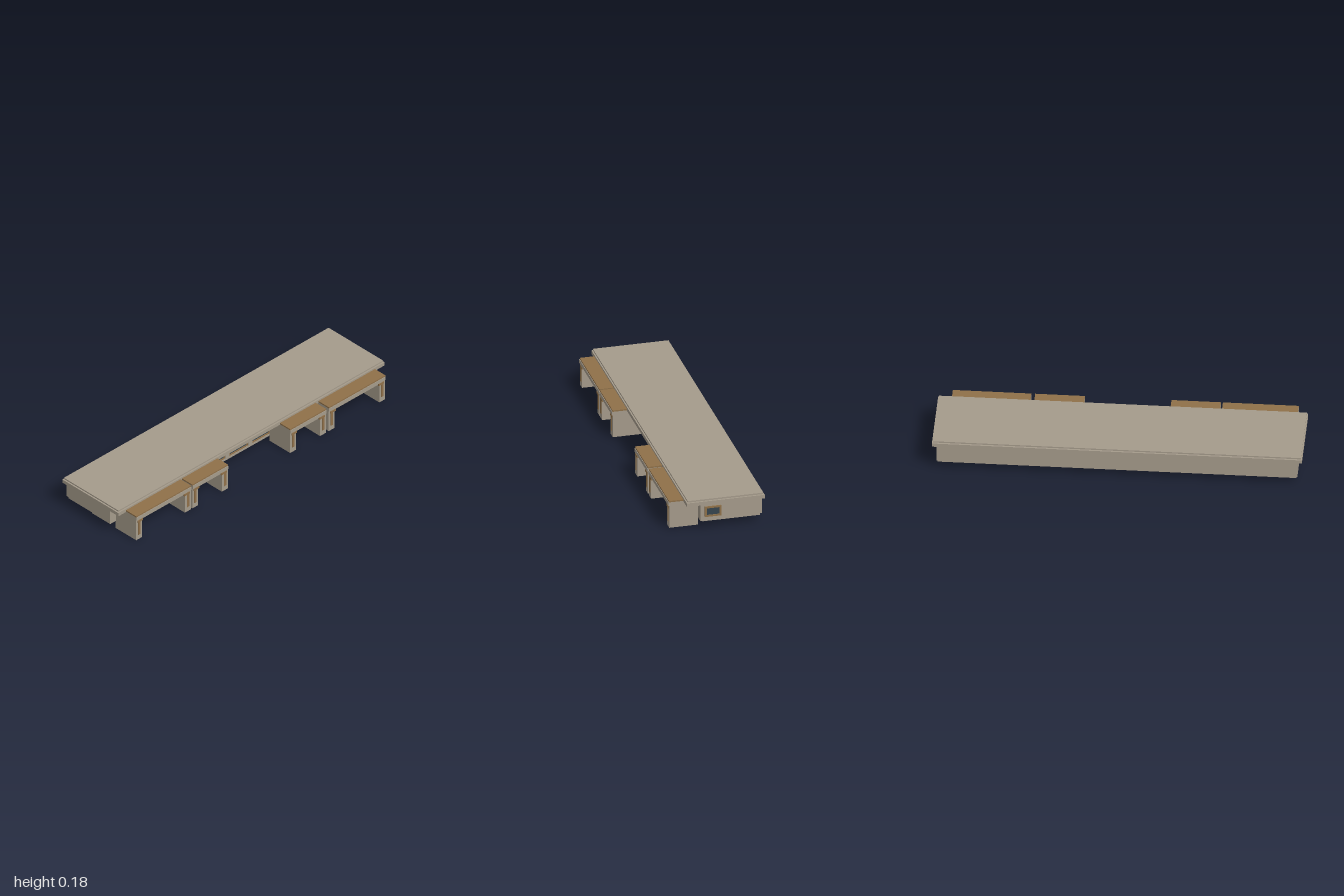
import * as THREE from 'three';

const material = (name, color) => {
  const m = new THREE.MeshStandardMaterial({ color });
  m.name = name;
  return m;
};

export function createModel() {
  const stone = material('taupe stone', 0xa59b8b);
  const wood = material('brown wood', 0x8f7049);
  const glass = material('dark glass', 0x36444e);

  const model = new THREE.Group();
  model.name = 'storefrontBuilding';

  // Box given by its extents along each axis
  const box = (name, mat, [x0, x1], [y0, y1], [z0, z1], parent = model) => {
    const mesh = new THREE.Mesh(new THREE.BoxGeometry(x1 - x0, y1 - y0, z1 - z0), mat);
    mesh.position.set((x0 + x1) / 2, (y0 + y1) / 2, (z0 + z1) / 2);
    mesh.name = name;
    parent.add(mesh);
    return mesh;
  };

  // Main hall on a slightly inset base
  box('base', stone, [-0.97, 0.97], [0.037, 0.05], [-0.24, 0.08]);
  box('hall', stone, [-0.975, 0.975], [0.05, 0.147], [-0.25, 0.085]);

  // Roof slab with a shadow groove and upper coping
  box('roofSlab', stone, [-1, 1], [0.147, 0.168], [-0.258, 0.176]);
  box('roofGroove', stone, [-0.99, 0.99], [0.168, 0.171], [-0.248, 0.167]);
  box('roofCoping', stone, [-0.994, 0.994], [0.171, 0.179], [-0.252, 0.17]);

  // End walls, with a framed window on the left end
  box('rightEndPanel', stone, [-0.985, -0.93], [0.047, 0.147], [-0.045, 0.097]);
  box('leftEndPanel', stone, [0.93, 0.985], [0.047, 0.147], [-0.045, 0.097]);
  const frame = [[[0.071, 0.081], [-0.018, 0.073]], [[0.121, 0.131], [-0.018, 0.073]],
    [[0.081, 0.121], [-0.018, -0.008]], [[0.081, 0.121], [0.063, 0.073]]];
  for (const [y, z] of frame) box('endWindowFrame', wood, [0.985, 0.992], y, z);
  box('endWindowGlass', glass, [0.985, 0.988], [0.081, 0.121], [-0.008, 0.063]);

  // Central entrance front with three framed windows
  box('entranceSill', stone, [-0.255, 0.215], [0.035, 0.048], [0.04, 0.097]);
  box('entranceLintel', stone, [-0.255, 0.215], [0.138, 0.147], [0.08, 0.097]);
  for (const x of [-0.105, 0.067]) {
    box('entrancePillar', stone, [x - 0.014, x + 0.014], [0.045, 0.14], [0.08, 0.099]);
  }
  for (const [a, b] of [[-0.255, -0.119], [-0.091, 0.053], [0.081, 0.215]]) {
    box('entranceGlass', glass, [a, b], [0.048, 0.138], [0.085, 0.09]);
    box('entranceFrameBottom', wood, [a, b], [0.048, 0.055], [0.088, 0.095]);
    box('entranceFrameTop', wood, [a, b], [0.133, 0.138], [0.088, 0.095]);
    for (const x of [a, b - 0.006]) {
      box('entranceFrameSide', wood, [x, x + 0.006], [0.055, 0.133], [0.088, 0.095]);
    }
  }

  // Projecting shop bays: piers, header, wooden cap and recessed glass
  const bays = [[-0.943, -0.533], [-0.522, -0.255], [0.213, 0.482], [0.503, 0.927]];
  for (const [a, b] of bays) {
    const bay = new THREE.Group();
    bay.name = 'shopBay';
    model.add(bay);
    box('bayHeader', stone, [a, b], [0.13, 0.151], [0.08, 0.259], bay);
    box('bayCap', wood, [a, b], [0.151, 0.159], [0.15, 0.256], bay);
    box('bayLintel', stone, [a + 0.04, b - 0.04], [0.117, 0.13], [0.085, 0.25], bay);
    box('bayGlass', glass, [a + 0.04, b - 0.04], [0.006, 0.12], [0.088, 0.092], bay);
    for (const [x, s] of [[a, 1], [b, -1]]) {
      const span = (p, q) => [Math.min(x + s * p, x + s * q), Math.max(x + s * p, x + s * q)];
      box('bayPier', stone, span(0, 0.044), [0, 0.13], [0.095, 0.255], bay);
      box('pierStrip', wood, span(0.014, 0.03), [0.03, 0.112], [0.254, 0.258], bay);
      box('pierCapital', wood, span(0.01, 0.05), [0.112, 0.125], [0.25, 0.258], bay);
    }
  }
  return model;
}
